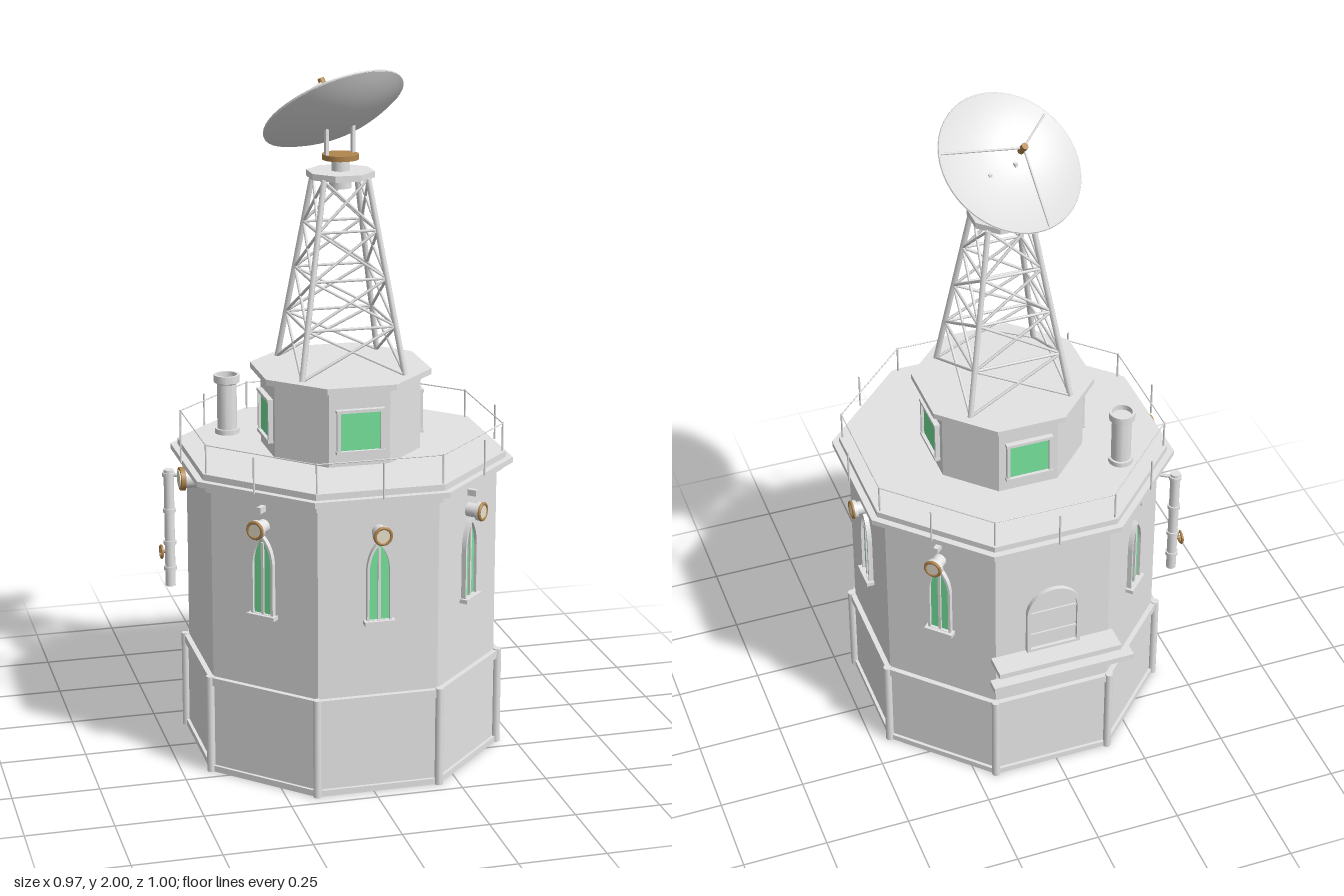
import * as THREE from 'three';
import { toCreasedNormals } from 'three/addons/utils/BufferGeometryUtils.js';

const paint = (name, color) => {
  const m = new THREE.MeshStandardMaterial({ color });
  m.name = name;
  return m;
};
const V = (x, y, z) => new THREE.Vector3(x, y, z);

export function createModel() {
  const grey = paint('lightGrey', 0xe3e3e3);
  const glass = paint('greenGlass', 0x76e49c);
  const brass = paint('brass', 0xb0854c);
  const lens = paint('lampLens', 0xf4ecd8);

  const root = new THREE.Group();
  root.name = 'signalTower';
  // Everything is laid out round the tower axis
  const tower = new THREE.Group();
  tower.name = 'tower';
  tower.position.set(0.014, 0, 0.026);
  root.add(tower);

  const add = (parent, name, geo, mat, x = 0, y = 0, z = 0) => {
    const m = new THREE.Mesh(geo, mat);
    m.name = name;
    m.position.set(x, y, z);
    parent.add(m);
    return m;
  };
  const C8 = Math.cos(Math.PI / 8);
  // Octagonal slab with flat sides facing the axes
  const octagon = (name, apothem, y0, y1) => {
    const r = apothem / C8;
    const g = new THREE.CylinderGeometry(r, r, y1 - y0, 8).rotateY(Math.PI / 8);
    return add(tower, name, toCreasedNormals(g, 0.4), grey, 0, (y0 + y1) / 2, 0);
  };
  const bar = (parent, name, a, b, r, mat = grey, sides = 6) => {
    const d = b.clone().sub(a);
    const m = add(parent, name, new THREE.CylinderGeometry(r, r, d.length(), sides), mat);
    m.position.copy(a).addScaledVector(d, 0.5);
    m.quaternion.setFromUnitVectors(V(0, 1, 0), d.normalize());
    return m;
  };
  const box = (parent, name, w, h, d, mat, x, y, z) =>
    add(parent, name, new THREE.BoxGeometry(w, h, d), mat, x, y, z);
  const tube = (parent, name, r, len, mat, x, y, z) =>
    add(parent, name, new THREE.CylinderGeometry(r, r, len, 20).rotateX(Math.PI / 2), mat, x, y, z);
  // Group whose +z points out of octagon side k (0 front, 2 left, 4 back, 6 right)
  const side = (k, name) => {
    const g = new THREE.Group();
    g.name = name;
    g.rotation.y = k * Math.PI / 4;
    tower.add(g);
    return g;
  };
  const ring = (n, r, y, offset = 0) => Array.from({ length: n }, (_, i) => {
    const a = i / n * Math.PI * 2 + offset;
    return V(Math.sin(a) * r, y, Math.cos(a) * r);
  });
  const extrude = (shape, depth) =>
    new THREE.ExtrudeGeometry(shape, { depth, bevelEnabled: false, curveSegments: 10 });

  // Main octagonal body, plinth and cornice
  const A = 0.42;
  octagon('plinth', 0.424, 0, 0.285);
  octagon('body', A, 0.285, 0.85);
  octagon('plinthBottomRail', 0.433, 0, 0.018);
  octagon('plinthTopRail', 0.435, 0.266, 0.29);
  octagon('corniceBand', 0.436, 0.845, 0.866);
  octagon('corniceLedge', 0.463, 0.866, 0.882);
  octagon('roof', 0.444, 0.882, 0.9);
  ring(8, 0.466, 0, Math.PI / 8).forEach(p =>
    bar(tower, 'plinthPost', p, p.clone().setY(0.293), 0.012, grey, 10));

  // Roof railing
  ring(16, 0.47, 0.88).forEach(p =>
    bar(tower, 'railingPost', p, p.clone().setY(0.985), 0.0028));
  const railPts = ring(8, 0.47, 0.982, Math.PI / 8);
  railPts.forEach((p, i) => bar(tower, 'railing', p, railPts[(i + 1) % 8], 0.0018));

  // Pointed windows
  const lancet = (w, y0, spring, top, Type = THREE.Shape) => {
    const s = new Type();
    s.moveTo(-w, y0);
    s.lineTo(w, y0);
    s.lineTo(w, spring);
    s.quadraticCurveTo(w * 0.9, (spring + top) / 2 + 0.012, 0, top);
    s.quadraticCurveTo(-w * 0.9, (spring + top) / 2 + 0.012, -w, spring);
    s.closePath();
    return s;
  };
  for (const k of [0, 1, 2, 3, 5, 7]) {
    const g = side(k, 'lancetWindow');
    const frame = lancet(0.036, 0.51, 0.665, 0.747);
    frame.holes.push(lancet(0.029, 0.516, 0.663, 0.736, THREE.Path));
    add(g, 'windowFrame', extrude(frame, 0.014), grey, 0, 0, A);
    add(g, 'windowPane', extrude(lancet(0.029, 0.516, 0.663, 0.736), 0.005), glass, 0, 0, A);
    box(g, 'mullion', 0.008, 0.21, 0.01, grey, 0, 0.621, A + 0.006);
    box(g, 'windowSill', 0.088, 0.012, 0.026, grey, 0, 0.509, A + 0.011);
  }

  // Round lamps
  for (const k of [0, 1, 2, 3, 7]) {
    const g = side(k, 'lamp');
    tube(g, 'lampBody', 0.02, 0.04, grey, 0, 0.772, A + 0.018);
    tube(g, 'lampFlange', 0.027, 0.012, grey, 0, 0.772, A + 0.039);
    add(g, 'lampRing', new THREE.TorusGeometry(0.023, 0.005, 8, 24), brass, 0, 0.772, A + 0.046);
    tube(g, 'lampLens', 0.019, 0.006, lens, 0, 0.772, A + 0.045);
  }
  const big = side(6, 'sideLamp');
  tube(big, 'sideLampBody', 0.028, 0.04, grey, 0, 0.832, A + 0.02);
  tube(big, 'sideLampRim', 0.034, 0.014, brass, 0, 0.832, A + 0.048);
  tube(big, 'sideLampLens', 0.025, 0.004, lens, 0, 0.832, A + 0.056);
  for (const k of [1, 3, 5, 7])
    box(side(k, 'smallFixture'), 'fixture', 0.014, 0.018, 0.03, grey, 0, 0.824, A + 0.012);

  // Arched back door with stepped ledge
  const back = side(4, 'backDoor');
  const arch = (w, y0, spring, Type = THREE.Shape) => {
    const s = new Type();
    s.moveTo(-w, y0);
    s.lineTo(w, y0);
    s.lineTo(w, spring);
    s.absarc(0, spring, w, 0, Math.PI, false);
    s.closePath();
    return s;
  };
  const doorFrame = arch(0.082, 0.462, 0.6);
  doorFrame.holes.push(arch(0.071, 0.47, 0.6, THREE.Path));
  add(back, 'doorFrame', extrude(doorFrame, 0.014), grey, 0, 0, A);
  add(back, 'doorPanel', extrude(arch(0.071, 0.47, 0.6), 0.004), grey, 0, 0, A);
  for (const y of [0.52, 0.6]) box(back, 'doorBar', 0.142, 0.007, 0.008, grey, 0, y, A + 0.005);
  box(back, 'upperLedge', 0.375, 0.018, 0.075, grey, 0, 0.452, A + 0.036);
  box(back, 'lowerLedge', 0.43, 0.018, 0.038, grey, 0, 0.434, A + 0.086);

  // Drain pipe with collars and a valve wheel
  const pipe = new THREE.Group();
  pipe.name = 'drainPipe';
  pipe.position.set(-0.469, 0, -0.198);
  tower.add(pipe);
  bar(pipe, 'pipe', V(0, 0.44, 0), V(0, 0.8, 0), 0.015, grey, 14);
  for (const y of [0.495, 0.575, 0.675, 0.785])
    bar(pipe, 'pipeCollar', V(0, y - 0.006, 0), V(0, y + 0.006, 0), 0.019, grey, 14);
  bar(pipe, 'pipeBracket', V(0, 0.785, 0), V(0.06, 0.785, 0.04), 0.006);
  bar(pipe, 'valveStem', V(0, 0.547, 0), V(-0.028, 0.547, 0), 0.005, brass, 8);
  add(pipe, 'valveWheel', new THREE.TorusGeometry(0.018, 0.004, 6, 18).rotateY(Math.PI / 2),
    brass, -0.026, 0.547, 0);

  // Chimney
  const flue = [[0, 0.9], [0.036, 0.9], [0.036, 0.915], [0.029, 0.915], [0.029, 1.05], [0.038, 1.055],
    [0.038, 1.077], [0.03, 1.077], [0.03, 1.06], [0, 1.06]].map(p => new THREE.Vector2(...p));
  add(tower, 'chimney', toCreasedNormals(new THREE.LatheGeometry(flue, 24), 0.5), grey, -0.291, 0, -0.2);

  // Upper cabin with square windows
  const B = 0.215;
  octagon('cabin', B, 0.9, 1.12);
  octagon('cabinRoof', 0.243, 1.12, 1.137);
  for (const k of [0, 2, 4, 6]) {
    const g = side(k, 'cabinWindow');
    box(g, 'cabinPane', 0.122, 0.116, 0.006, glass, 0, 1.003, B + 0.003);
    for (const s of [-1, 1]) {
      box(g, 'cabinFrameSide', 0.009, 0.128, 0.014, grey, s * 0.063, 1.003, B + 0.007);
      box(g, 'cabinFrameRail', 0.14, 0.009, 0.016, grey, 0, 1.003 + s * 0.06, B + 0.008);
    }
  }

  // Lattice mast with four crossed bays
  const levels = [1.137, 1.275, 1.41, 1.545, 1.688];
  const corner = (i, y) => {
    const h = THREE.MathUtils.mapLinear(y, 1.137, 1.688, 0.15, 0.064);
    return V([1, 1, -1, -1][i % 4] * h, y, [1, -1, -1, 1][i % 4] * h);
  };
  for (let i = 0; i < 4; i++) {
    bar(tower, 'mastLeg', corner(i, levels[0]), corner(i, levels[4]), 0.0085, grey, 8);
    for (let j = 0; j < 4; j++) {
      const [lo, hi] = [levels[j], levels[j + 1]];
      bar(tower, 'mastBrace', corner(i, lo), corner(i + 1, hi), 0.0042);
      bar(tower, 'mastBrace', corner(i + 1, lo), corner(i, hi), 0.0042);
      if (j) bar(tower, 'mastTie', corner(i, lo), corner(i + 1, lo), 0.0042);
    }
  }
  octagon('mastPlatform', 0.09, 1.686, 1.704);
  bar(tower, 'turntableDrum', V(0, 1.655, 0), V(0, 1.69, 0), 0.032, grey, 20);
  bar(tower, 'turntableColumn', V(0, 1.7, 0), V(0, 1.738, 0), 0.025, grey, 20);
  bar(tower, 'turntable', V(0, 1.736, 0), V(0, 1.751, 0), 0.052, brass, 28);

  // Tilted dish with fork arms, struts and feed horn
  const dish = new THREE.Group();
  dish.name = 'dish';
  dish.position.set(0.002, 1.873, -0.008);
  root.add(dish);
  const n = V(-0.23, 0.8, -0.557).normalize();
  const profile = [];
  for (let i = 0; i <= 10; i++)
    profile.push(new THREE.Vector2(0.0211 * i, -0.064 + 0.06 * (i / 10) ** 2));
  for (let i = 10; i >= 0; i--)
    profile.push(new THREE.Vector2(0.0206 * i, -0.058 + 0.06 * (i / 10) ** 2));
  const bowl = add(dish, 'dishBowl', toCreasedNormals(new THREE.LatheGeometry(profile, 48), 0.6), grey);
  bowl.quaternion.setFromUnitVectors(V(0, 1, 0), n);
  const rim = add(dish, 'dishRim', new THREE.TorusGeometry(0.208, 0.003, 6, 48), grey);
  rim.quaternion.setFromUnitVectors(V(0, 0, 1), n);
  const feed = n.clone().multiplyScalar(0.085);
  for (const [x, z] of [[-0.055, -0.157], [0.195, 0.008], [-0.145, 0.128]])
    bar(dish, 'feedStrut', V(x, -(n.x * x + n.z * z) / n.y, z), feed, 0.0032);
  bar(dish, 'feedHorn', n.clone().multiplyScalar(0.066), n.clone().multiplyScalar(0.096), 0.01, brass, 12);
  for (const [x, z] of [[-0.03, 0.04], [0.055, 0.01]])
    box(root, 'forkArm', 0.01, 0.09, 0.01, grey, x, 1.79, z).rotation.y = 0.35;

  return root;
}
